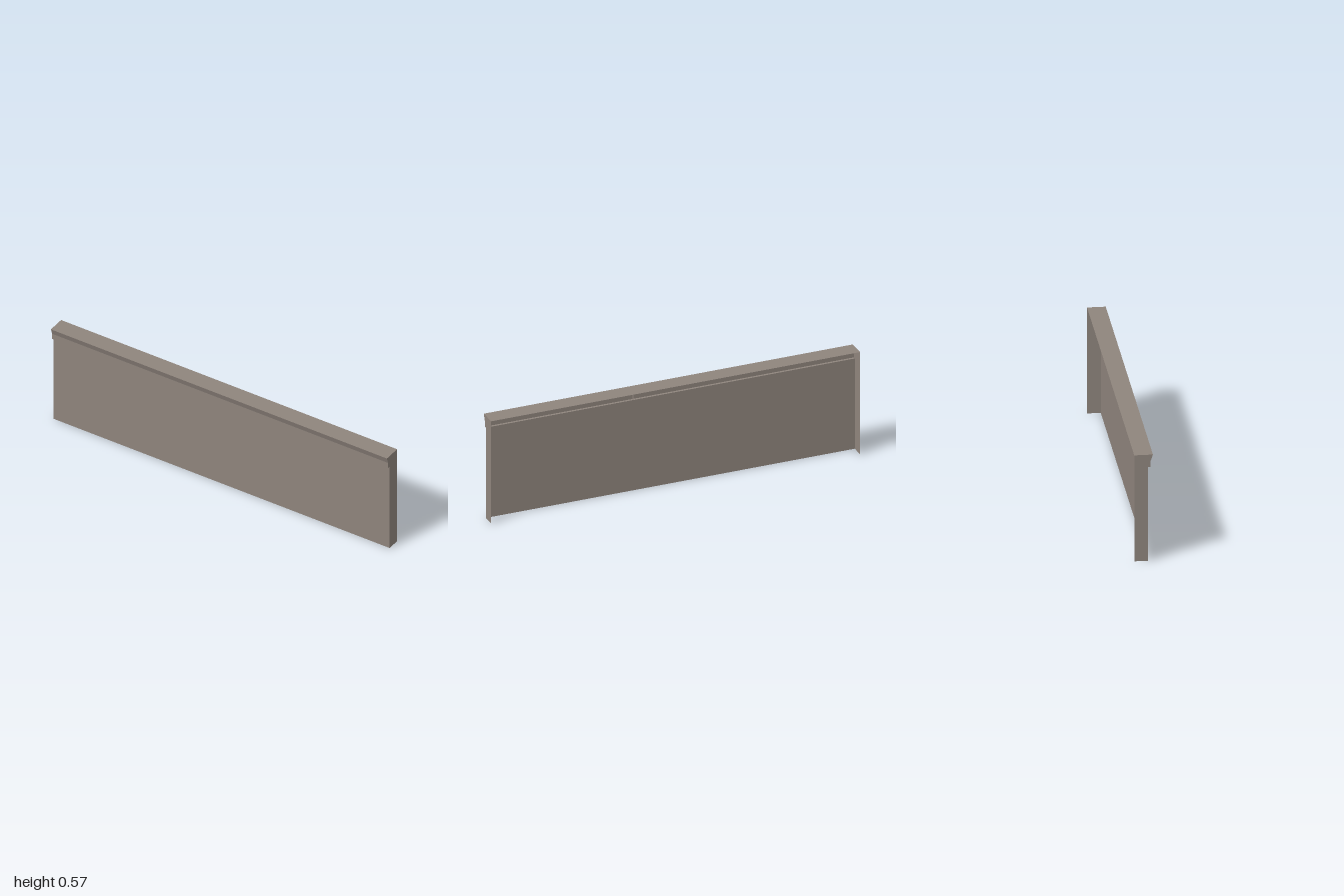
import * as THREE from 'three';

const HALF = 1; // half length along x

// Profile points as [z, y]
const BACK_TOP = [-0.047, 0.57], LIP = [0.047, 0.57], BEVEL = [0.035, 0.535];
const BAND = [0.035, 0.503], LEDGE = [0.022, 0.503], FOOT = [0.022, 0], BACK_FOOT = [-0.047, 0];

// Open strip swept along x through the profile points, flat faces
function strip(points) {
  const pos = [];
  for (let i = 0; i < points.length - 1; i++) {
    const [az, ay] = points[i], [bz, by] = points[i + 1];
    pos.push(-HALF, ay, az, -HALF, by, bz, HALF, by, bz);
    pos.push(-HALF, ay, az, HALF, by, bz, HALF, ay, az);
  }
  const g = new THREE.BufferGeometry();
  g.setAttribute('position', new THREE.Float32BufferAttribute(pos, 3));
  g.computeVertexNormals();
  return g;
}

// Flat plate across x, cut to the profile points and facing -x
function plate(points) {
  const shape = new THREE.Shape(points.map(([z, y]) => new THREE.Vector2(z, y)));
  return new THREE.ShapeGeometry(shape).rotateY(-Math.PI / 2);
}

export function createModel() {
  const group = new THREE.Group();
  const stone = new THREE.MeshStandardMaterial({ color: 0x8f857d, side: THREE.DoubleSide });
  stone.name = 'warm grey stone';

  const add = (name, geometry, x = 0) => {
    const mesh = new THREE.Mesh(geometry, stone);
    mesh.name = name;
    mesh.position.x = x;
    group.add(mesh);
    return mesh;
  };

  // Shell, open at the back and bottom
  add('topCap', strip([BACK_TOP, LIP]));
  add('corniceTrim', strip([LIP, BEVEL, BAND, LEDGE]));
  add('frontPanel', strip([LEDGE, FOOT]));

  // End walls
  const end = [BACK_TOP, BACK_FOOT, FOOT, LEDGE, BAND, BEVEL, LIP];
  add('rightEndWall', plate(end), -HALF);
  add('leftEndWall', plate(end).rotateY(Math.PI), HALF).scale.z = -1;

  // Small ribs inside the hollow cornice
  add('corniceRib', plate([[0.022, 0.57], LEDGE, BAND, BEVEL, LIP]), 0.2);
  add('corniceUpperRib', plate([[0.022, 0.57], [0.03, 0.535], BEVEL, LIP]), -0.4);

  return group;
}
